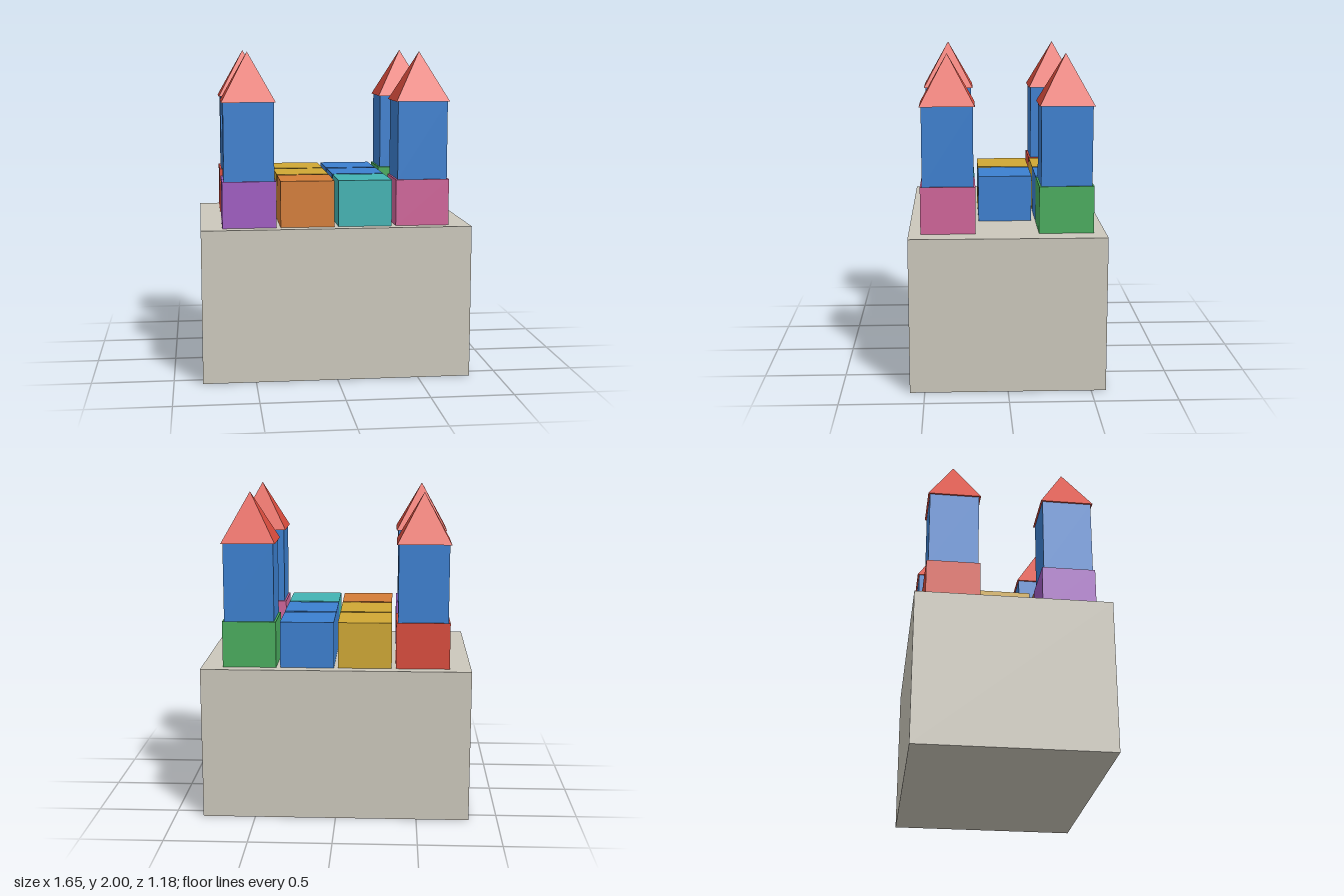
import * as THREE from 'three';

const material = (name, color) => {
  const m = new THREE.MeshStandardMaterial({ color });
  m.name = name;
  return m;
};

export function createModel() {
  const group = new THREE.Group();
  const stone = material('stone', 0xccc8bc);
  const blue = material('blue', 0x3c80d0);
  const red = material('red', 0xd94c3d);
  const yellow = material('yellow', 0xd0a834);
  const orange = material('orange', 0xd47d37);
  const teal = material('teal', 0x42b3b3);
  const purple = material('purple', 0xa05cc2);
  const pink = material('pink', 0xd0659a);
  const green = material('green', 0x4aad5e);

  const add = (name, geometry, mat, x, y, z) => {
    const mesh = new THREE.Mesh(geometry, mat);
    mesh.name = name;
    mesh.position.set(x, y, z);
    group.add(mesh);
  };

  const pitch = 0.353, size = 0.328;
  const baseTop = 0.942, blockTop = 1.225, towerTop = 1.7, peak = 2;

  // Large plinth
  add('plinth', new THREE.BoxGeometry(1.648, baseTop, 1.178), stone, 0, baseTop / 2, 0);

  // Shared block, tower and pyramid roof shapes
  const blockGeo = new THREE.BoxGeometry(size, blockTop - baseTop, size);
  const towerGeo = new THREE.BoxGeometry(0.305, towerTop - blockTop, 0.305);
  const roofGeo = new THREE.ConeGeometry(size / Math.SQRT2, peak - towerTop, 4, 1)
    .rotateY(Math.PI / 4).toNonIndexed();
  roofGeo.computeVertexNormals();

  // Block rows from back to front, each from -x to +x
  const rows = [
    [red, yellow, blue, green],
    [null, yellow, blue, null],
    [purple, orange, teal, pink],
  ];
  rows.forEach((row, r) => row.forEach((mat, c) => {
    if (!mat) return;
    const x = (c - 1.5) * pitch, z = (r - 1) * pitch;
    add('block', blockGeo, mat, x, (baseTop + blockTop) / 2, z);

    // Corner blocks carry a tower
    if (c === 0 || c === 3) {
      add('tower', towerGeo, blue, x, (blockTop + towerTop) / 2, z);
      add('roof', roofGeo, red, x, (towerTop + peak) / 2, z);
    }
  }));

  return group;
}
